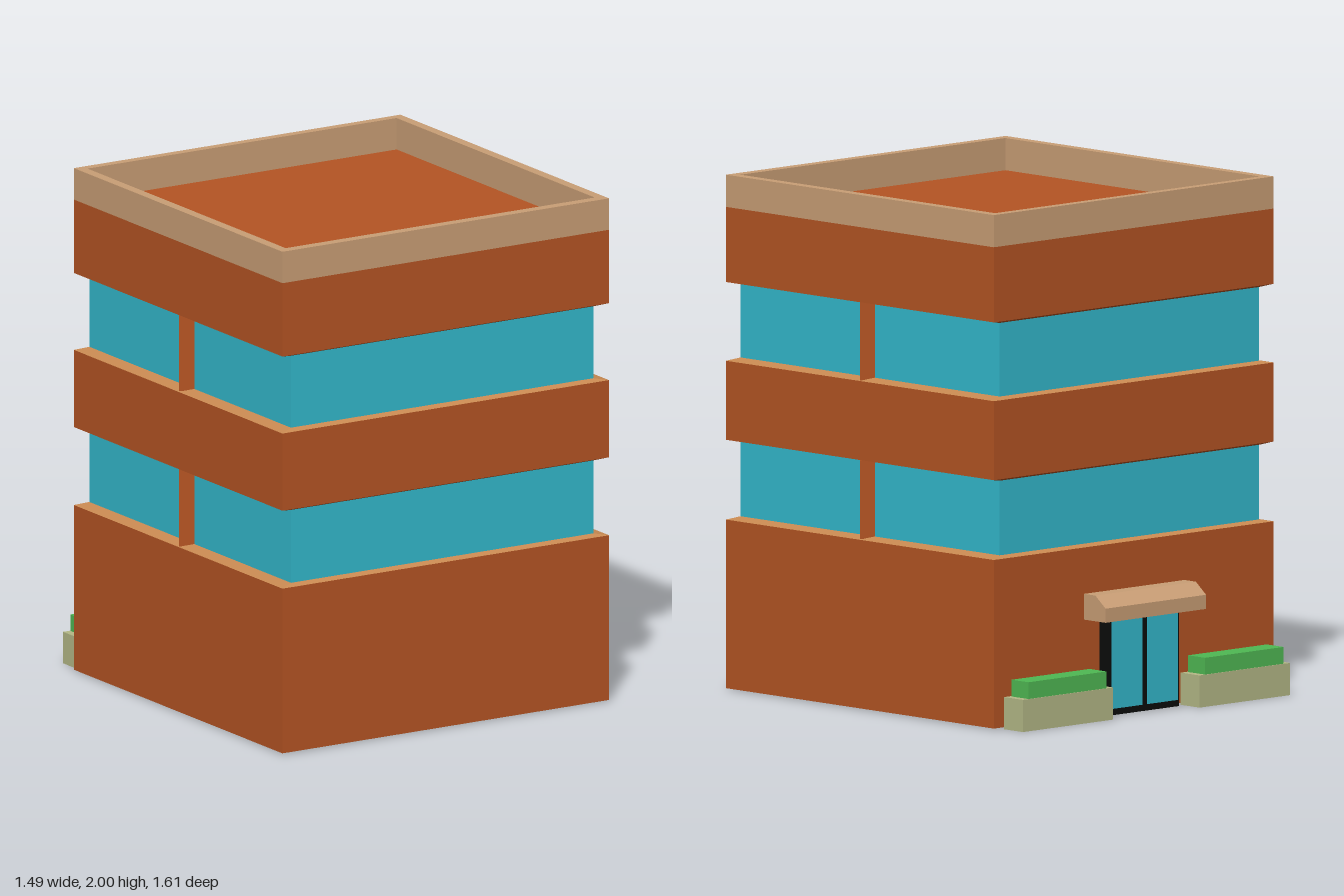
import * as THREE from 'three';

const paint = (color, side = THREE.FrontSide) =>
  new THREE.MeshStandardMaterial({ color, side, flatShading: true });

// Rectangular plan outline [x0, x1, z0, z1]
const OUTER = [-0.745, 0.745, -0.685, 0.805];
const GLASS = [-0.69, 0.69, -0.66, 0.78];
const INNER = [-0.705, 0.705, -0.65, 0.765];

// Open four-sided wall joining two rectangular outlines at different heights
function ringGeometry(a, ya, b, yb) {
  const corners = ([x0, x1, z0, z1], y) =>
    [[x0, y, z1], [x1, y, z1], [x1, y, z0], [x0, y, z0]];
  const lo = corners(a, ya), hi = corners(b, yb), pos = [];
  for (let i = 0; i < 4; i++) {
    const j = (i + 1) % 4;
    for (const p of [lo[i], lo[j], hi[j], lo[i], hi[j], hi[i]]) pos.push(...p);
  }
  const g = new THREE.BufferGeometry();
  g.setAttribute('position', new THREE.Float32BufferAttribute(pos, 3));
  g.computeVertexNormals();
  return g;
}

export function createModel() {
  const root = new THREE.Group();
  root.name = 'officeBuilding';
  const brick = paint(0xb45423, THREE.DoubleSide);
  const stone = paint(0xc99e75, THREE.DoubleSide);
  const sill = paint(0xc98a52, THREE.DoubleSide);
  const glass = paint(0x33b8cc, THREE.DoubleSide);
  const black = paint(0x0a0c0a);
  const concrete = paint(0xb4b886);
  const leaf = paint(0x4fb853);

  const add = (name, geo, mat, parent = root) => {
    const m = new THREE.Mesh(geo, mat);
    m.name = name;
    parent.add(m);
    return m;
  };
  const ring = (name, a, ya, b, yb, mat) => add(name, ringGeometry(a, ya, b, yb), mat);
  const box = (name, x0, x1, y0, y1, z0, z1, mat, parent) => {
    const m = add(name, new THREE.BoxGeometry(x1 - x0, y1 - y0, z1 - z0), mat, parent);
    m.position.set((x0 + x1) / 2, (y0 + y1) / 2, (z0 + z1) / 2);
  };

  // Hollow brick storeys
  ring('groundStoreyWall', OUTER, 0.005, OUTER, 0.66, brick);
  ring('middleWall', OUTER, 0.97, OUTER, 1.277, brick);
  ring('upperWall', OUTER, 1.583, OUTER, 1.875, brick);

  // Recessed window bands with sloping sills, soffits and side mullions
  for (const [y0, y1] of [[0.66, 0.97], [1.277, 1.583]]) {
    ring('windowSill', OUTER, y0, GLASS, y0 + 0.01, sill);
    ring('windowBand', GLASS, y0 + 0.01, GLASS, y1 - 0.01, glass);
    ring('windowSoffit', GLASS, y1 - 0.01, OUTER, y1, brick);
    for (const s of [-1, 1]) {
      const tri = new THREE.Shape([
        new THREE.Vector2(s * 0.69, -0.09),
        new THREE.Vector2(s * 0.743, -0.062),
        new THREE.Vector2(s * 0.69, -0.034),
      ]);
      const g = new THREE.ExtrudeGeometry(tri, { depth: y1 - y0 - 0.004, bevelEnabled: false });
      g.rotateX(-Math.PI / 2); // shape y becomes -z, depth becomes height
      g.translate(0, y0 + 0.002, 0);
      add(s > 0 ? 'leftMullion' : 'rightMullion', g, brick);
    }
  }

  // Parapet and sunken roof
  ring('parapetOutside', OUTER, 1.875, OUTER, 2, stone);
  ring('parapetRim', OUTER, 2, INNER, 2, stone);
  ring('parapetInside', INNER, 2, INNER, 1.875, stone);
  const roof = new THREE.PlaneGeometry(1.41, 1.415).rotateX(-Math.PI / 2);
  add('roof', roof, brick).position.set(0, 1.875, 0.0575);

  // Rear entrance: double door under a canopy with a sloping front edge
  const entrance = new THREE.Group();
  entrance.name = 'entrance';
  root.add(entrance);
  box('doorFrame', -0.183, 0.183, 0.005, 0.38, -0.744, -0.684, black, entrance);
  for (const s of [-1, 1]) {
    const a = s * 0.014, b = s * 0.176;
    box('doorPane', Math.min(a, b), Math.max(a, b), 0.03, 0.375, -0.747, -0.742, glass, entrance);
  }
  const profile = new THREE.Shape();
  for (const [z, y] of [[0.685, 0.38], [0.805, 0.38], [0.805, 0.435], [0.748, 0.48], [0.685, 0.48]])
    profile.currentPoint.equals(new THREE.Vector2()) && !profile.curves.length && z === 0.685 && y === 0.38
      ? profile.moveTo(z, y) : profile.lineTo(z, y);
  const canopy = new THREE.ExtrudeGeometry(profile, { depth: 0.535, bevelEnabled: false });
  canopy.rotateY(Math.PI / 2); // profile runs towards -z, depth along x
  canopy.translate(-0.27, 0, 0);
  add('canopy', canopy, stone, entrance);

  // Planters with clipped hedges either side of the door
  for (const [name, x0, x1] of [['left', 0.225, 0.705], ['right', -0.718, -0.235]]) {
    box(name + 'Planter', x0, x1, 0, 0.125, -0.805, -0.7, concrete);
    box(name + 'Hedge', x0 + 0.032, x1 - 0.032, 0.12, 0.19, -0.802, -0.708, leaf);
  }
  return root;
}
